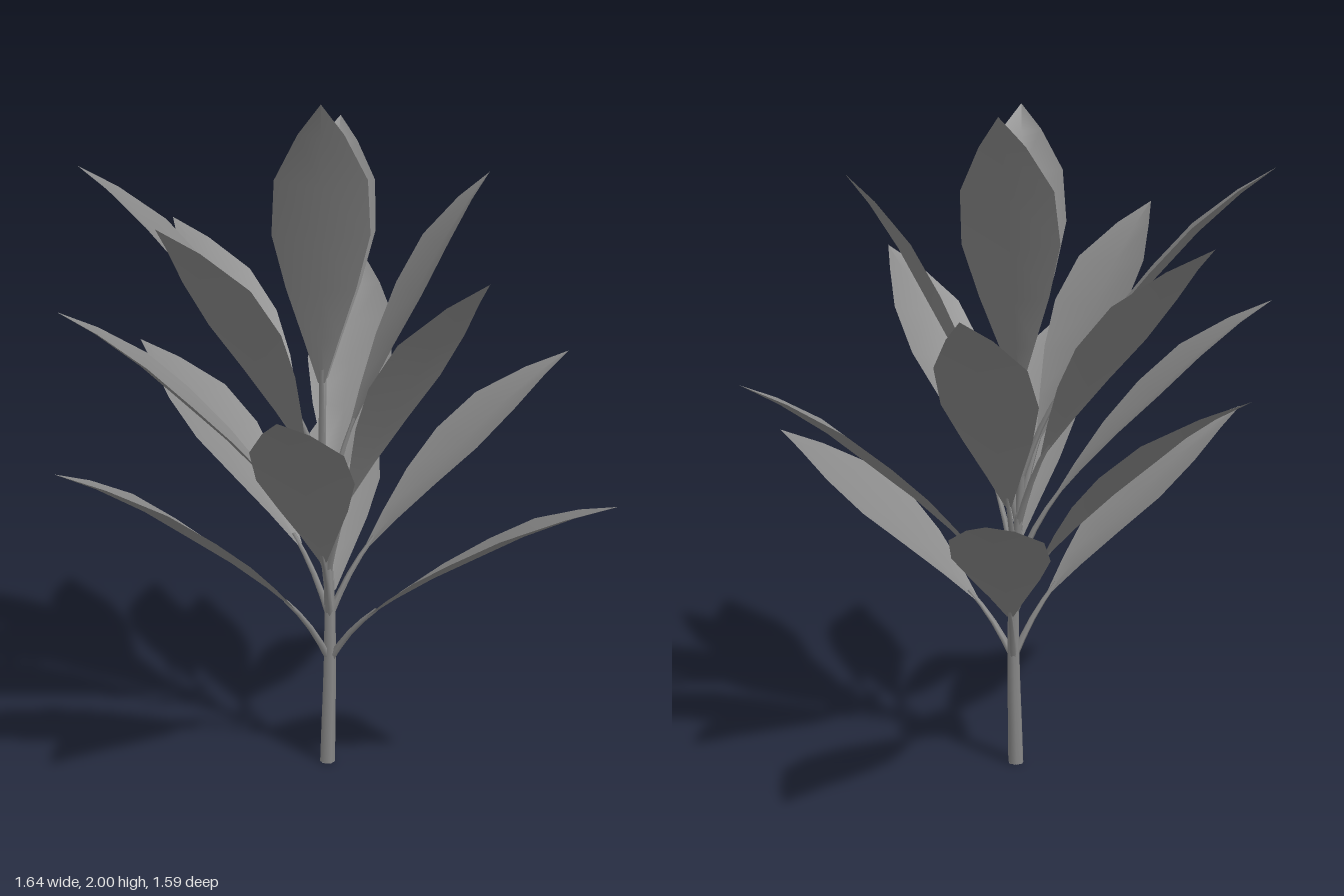
import * as THREE from 'three';

const material = new THREE.MeshStandardMaterial({ color: 0x888888, side: THREE.DoubleSide });

// Leaf tips [x, y, z] in whorls of three, lowest whorl first
const whorls = [
  { y: 0.34, tips: [[0.82, 0.96, 0.16], [-0.32, 1.0, -0.8], [-0.58, 1.05, 0.69]] },
  { y: 0.48, tips: [[-0.82, 1.24, -0.23], [0.525, 1.24, -0.53], [0.11, 1.27, 0.79]] },
  { y: 0.62, tips: [[-0.73, 1.43, 0.4], [-0.21, 1.47, -0.7], [0.5, 1.56, 0.33]] },
  { y: 0.77, tips: [[-0.73, 1.63, -0.31], [-0.28, 1.7, 0.64], [0.33, 1.8, -0.26]] },
  { y: 0.92, tips: [[-0.77, 1.82, 0.19], [-0.21, 1.95, -0.46], [0.07, 2.0, 0.4]] },
];

// Arching midrib: outward fraction, upward fraction
const stalkRib = [[0, 0], [0.06, 0.13], [0.12, 0.23], [0.18, 0.31]];
// Blade rows: outward fraction, upward fraction, half width
const bladeRib = [
  [0.15, 0.27, 0.01], [0.25, 0.39, 0.05], [0.38, 0.53, 0.098], [0.53, 0.67, 0.134],
  [0.69, 0.81, 0.124], [0.86, 0.925, 0.06], [1, 1, 0],
];

const stemCurve = new THREE.CatmullRomCurve3([
  new THREE.Vector3(-0.067, 0, 0.034),
  new THREE.Vector3(-0.058, 0.5, 0.032),
  new THREE.Vector3(-0.095, 1.0, 0.01),
]);

// Tube whose radius shrinks from r0 to r1
function taperedTube(curve, segments, r0, r1, sides) {
  const geo = new THREE.TubeGeometry(curve, segments, 1, sides, false);
  const pos = geo.attributes.position;
  const p = new THREE.Vector3();
  for (let i = 0; i < pos.count; i++) {
    const t = Math.floor(i / (sides + 1)) / segments;
    const centre = curve.getPointAt(t);
    p.fromBufferAttribute(pos, i).sub(centre).multiplyScalar(r0 + (r1 - r0) * t).add(centre);
    pos.setXYZ(i, p.x, p.y, p.z);
  }
  return geo;
}

function endCap(centre, tangent, radius, sides) {
  const cap = new THREE.Mesh(new THREE.CircleGeometry(radius, sides), material);
  cap.position.copy(centre);
  cap.quaternion.setFromUnitVectors(new THREE.Vector3(0, 0, 1), tangent);
  return cap;
}

// Blade with a lowered midrib, three vertices per row
function bladeGeometry(ribPoint, side, out) {
  const verts = [], index = [];
  bladeRib.forEach(([u, v, w], row) => {
    const c = ribPoint(u, v);
    for (const s of [-1, 0, 1]) {
      const p = c.clone().addScaledVector(side, s * w);
      const lift = (Math.abs(s) - 0.5) * 0.14 * w;
      p.addScaledVector(out, -lift);
      p.y += lift;
      verts.push(p.x, p.y, p.z);
    }
    if (row === 0) return;
    const b = row * 3;
    for (const k of [0, 1]) {
      index.push(b - 3 + k, b - 2 + k, b + k);
      if (w > 0) index.push(b - 2 + k, b + 1 + k, b + k);
    }
  });
  const geo = new THREE.BufferGeometry();
  geo.setAttribute('position', new THREE.Float32BufferAttribute(verts, 3));
  geo.setIndex(index);
  geo.computeVertexNormals();
  return geo;
}

function makeLeaf(base, tip) {
  const leaf = new THREE.Group();
  leaf.name = 'leaf';
  const reach = tip.clone().sub(base);
  const out = new THREE.Vector3(reach.x, 0, reach.z).normalize();
  const side = new THREE.Vector3(out.z, 0, -out.x);
  const ribPoint = (u, v) =>
    new THREE.Vector3(base.x + reach.x * u, base.y + reach.y * v, base.z + reach.z * u);

  const stalkCurve = new THREE.CatmullRomCurve3(stalkRib.map(([u, v]) => ribPoint(u, v)));
  const stalk = new THREE.Mesh(taperedTube(stalkCurve, 4, 0.012, 0.006, 5), material);
  stalk.name = 'leafStalk';

  const blade = new THREE.Mesh(bladeGeometry(ribPoint, side, out), material);
  blade.name = 'leafBlade';
  leaf.add(stalk, blade);
  return leaf;
}

export function createModel() {
  const plant = new THREE.Group();
  plant.name = 'plant';

  // Stem
  const stem = new THREE.Mesh(taperedTube(stemCurve, 8, 0.024, 0.01, 7), material);
  stem.name = 'stem';
  const bottom = endCap(stemCurve.getPointAt(0), new THREE.Vector3(0, -1, 0), 0.024, 7);
  bottom.name = 'stemBottom';
  const top = endCap(stemCurve.getPointAt(1), stemCurve.getTangentAt(1), 0.01, 7);
  top.name = 'stemTop';
  plant.add(stem, bottom, top);

  // Leaves
  for (const { y, tips } of whorls) {
    const base = stemCurve.getPointAt(y);
    for (const tip of tips) plant.add(makeLeaf(base, new THREE.Vector3(...tip)));
  }
  return plant;
}
